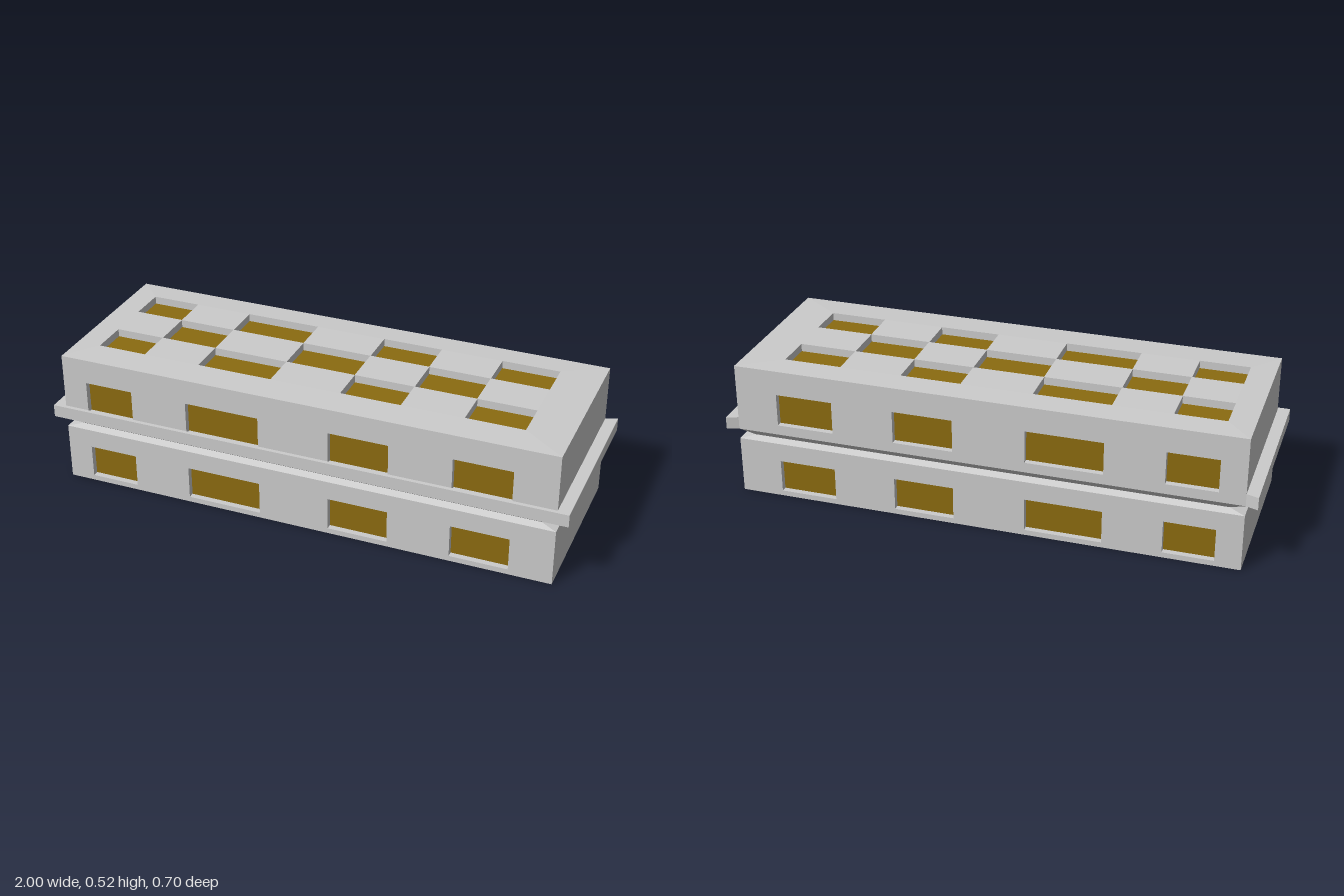
import * as THREE from 'three';

const W = 0.955, D = 0.335;          // half width and half depth of the body
const RECESS = 0.025;                // depth of the window openings
const COLUMNS = [[-0.86, -0.67], [-0.45, -0.16], [0.11, 0.34], [0.575, 0.795]];
const GAPS = [[-0.67, -0.45], [-0.16, 0.11], [0.34, 0.575]];

const grey = new THREE.MeshStandardMaterial({ color: 0xcccccc, flatShading: true });
const gold = new THREE.MeshStandardMaterial({ color: 0x8b6b10 });

function add(parent, name, geometry, material, x = 0, y = 0, z = 0) {
  const mesh = new THREE.Mesh(geometry, material);
  mesh.name = name;
  mesh.position.set(x, y, z);
  parent.add(mesh);
  return mesh;
}

function rectangle(Path, x0, x1, y0, y1) {
  return new Path([[x0, y0], [x1, y0], [x1, y1], [x0, y1]].map((p) => new THREE.Vector2(...p)));
}

// Slab in the xy plane, pierced by rectangular openings [x0, x1, y0, y1]
function piercedSlab(x, y0, y1, openings, depth) {
  const e = 0.0006; // keeps openings that meet at a corner apart
  const shape = rectangle(THREE.Shape, -x, x, y0, y1);
  shape.holes = openings.map(([a, b, c, d]) => rectangle(THREE.Path, a + e, b - e, c + e, d - e));
  return new THREE.ExtrudeGeometry(shape, { depth, bevelEnabled: false });
}

// One storey: solid core, pierced front and back walls, recessed panes
function storey(name, y0, y1, sill, head) {
  const group = new THREE.Group();
  group.name = name;
  const inner = D - RECESS;
  add(group, 'core', new THREE.BoxGeometry(2 * W, y1 - y0, 2 * inner), grey, 0, (y0 + y1) / 2);
  const wall = piercedSlab(W, y0, y1, COLUMNS.map(([a, b]) => [a, b, sill, head]), RECESS);
  add(group, 'frontWall', wall, grey, 0, 0, inner);
  add(group, 'backWall', wall, grey, 0, 0, -D);
  for (const side of [1, -1]) {
    for (const [a, b] of COLUMNS) {
      add(group, side > 0 ? 'frontPane' : 'backPane', new THREE.BoxGeometry(b - a, head - sill, 0.004),
        gold, (a + b) / 2, (sill + head) / 2, side * inner);
    }
  }
  return group;
}

// Four-sided sloping band between two scaled outlines of the body
function slopedBand(bottom, top, height) {
  return new THREE.CylinderGeometry(top, bottom, height, 4, 1)
    .rotateY(Math.PI / 4)
    .scale(W * Math.SQRT2, 1, D * Math.SQRT2);
}

export function createModel() {
  const model = new THREE.Group();
  model.name = 'building';
  model.add(storey('lowerStorey', 0, 0.22, 0.02, 0.148));
  model.add(storey('upperStorey', 0.26, 0.492, 0.298, 0.425));

  // Notched waist between the storeys
  add(model, 'waistLower', slopedBand(1, 0.94, 0.015), grey, 0, 0.2275);
  add(model, 'waistUpper', slopedBand(0.94, 1, 0.025), grey, 0, 0.2475);

  // Ledge round the front and both ends, open at the back
  const ledge = new THREE.Shape([
    [-1, -0.35], [1, -0.35], [1, 0.35], [W, D], [W, -D], [-W, -D], [-W, D], [-1, 0.35],
  ].map((p) => new THREE.Vector2(...p)));
  const ledgeGeometry = new THREE.ExtrudeGeometry(ledge, { depth: 0.048, bevelEnabled: false });
  add(model, 'ledge', ledgeGeometry.rotateX(-Math.PI / 2), grey, 0, 0.26);

  // Chequered roof openings: outer rows over the columns, middle row over the gaps
  const openings = [
    ...COLUMNS.map(([a, b]) => [a, b, 0.09, 0.235]),
    ...GAPS.map(([a, b]) => [a, b, -0.07, 0.09]),
    ...COLUMNS.map(([a, b]) => [a, b, -0.215, -0.07]),
  ];
  const roof = piercedSlab(W, -D, D, openings, 0.032).rotateX(-Math.PI / 2);
  // Slightly lower the outer rim
  const pos = roof.attributes.position;
  for (let i = 0; i < pos.count; i++) {
    if (Math.abs(pos.getX(i)) > 0.95 && pos.getY(i) > 0.01) pos.setY(i, 0.028);
  }
  roof.computeVertexNormals();
  add(model, 'roof', roof, grey, 0, 0.492);
  for (const [a, b, c, d] of openings) {
    add(model, 'roofPane', new THREE.BoxGeometry(b - a, 0.004, d - c), gold, (a + b) / 2, 0.492, -(c + d) / 2);
  }
  return model;
}
